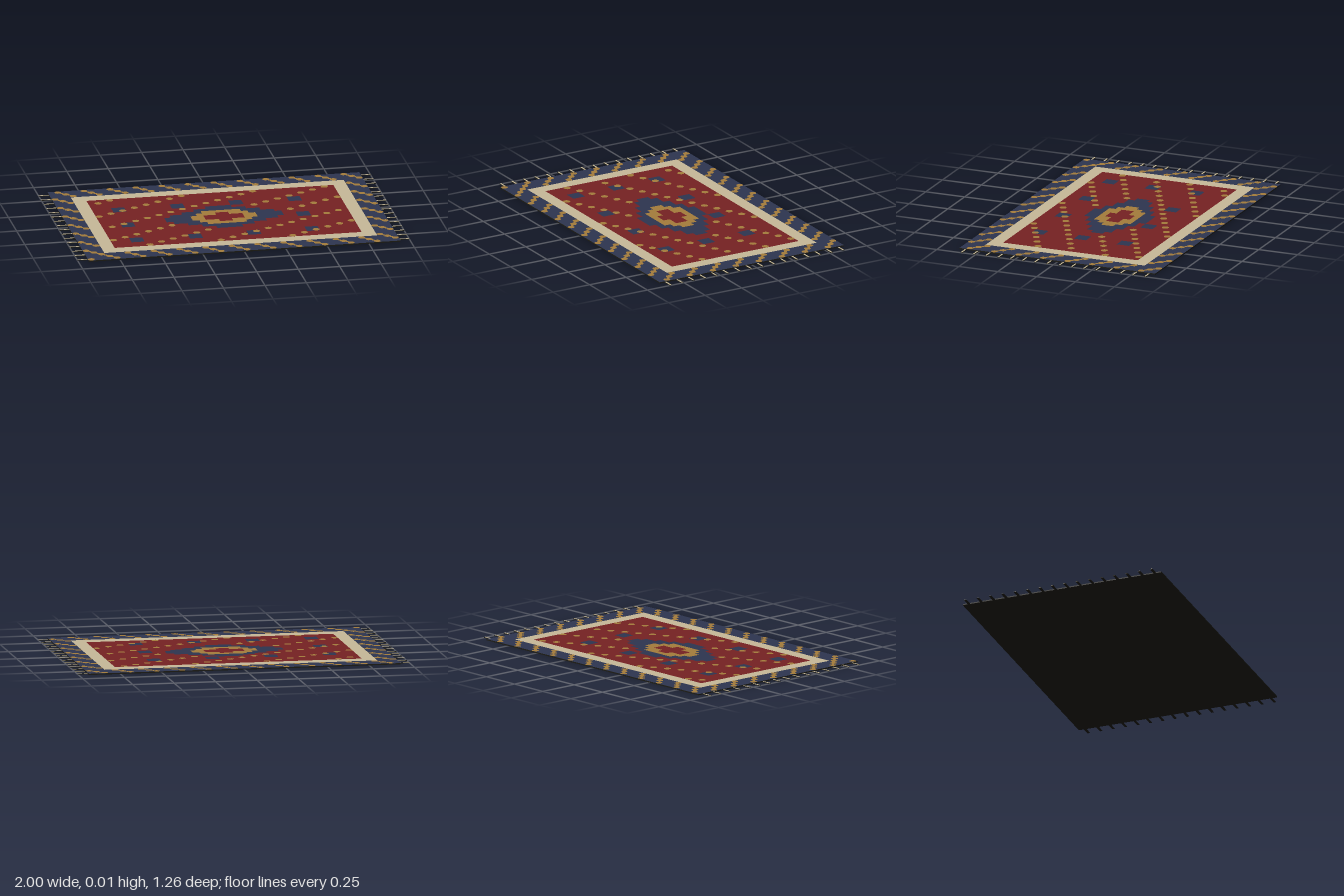
import * as THREE from 'three';
import { mergeGeometries } from 'three/addons/utils/BufferGeometryUtils.js';

const W = 1.88, D = 1.26, H = 0.007;   // woven slab
const COLS = 48, ROWS = 32;            // knots across and along
const CW = W / COLS, CD = D / ROWS;

const mat = (name, color) => {
  const m = new THREE.MeshStandardMaterial({ color });
  m.name = name;
  return m;
};

export function createModel() {
  const mats = {
    navy: mat('navy wool', 0x2d3550),
    red: mat('red wool', 0x762123),
    gold: mat('gold wool', 0xa47c3b),
    cream: mat('cream wool', 0xc7b998),
    backing: mat('dark backing', 0x1c1b14),
  };
  const rug = new THREE.Group();
  rug.name = 'rug';
  const add = (name, geos, material) => {
    const mesh = new THREE.Mesh(mergeGeometries(geos), material);
    mesh.name = name;
    rug.add(mesh);
  };

  // Frame depth of a knot: 0-2 outer border, 3-4 inner band, 5+ field
  const depth = (i, j) => Math.min(i, j, COLS - 1 - i, ROWS - 1 - j);

  // Half widths (in knots) of the stepped medallion, from its middle row outward
  const navyHalf = [9, 8, 6, 4, 2], goldHalf = [5, 4, 3], redHalf = [3, 1];
  const inside = (half, i, j) =>
    Math.abs(i - 23.5) < (half[Math.floor(Math.abs(j - 15.5))] ?? 0);

  const ground = (i, j) => {
    const d = depth(i, j);
    if (d < 3) return 'navy';
    if (d < 5) return 'cream';
    if (inside(redHalf, i, j)) return 'red';
    if (inside(goldHalf, i, j)) return 'gold';
    if (inside(navyHalf, i, j)) return 'navy';
    const square = (i + 1) % 9 < 2 && (j + 5) % 7 < 2;
    return square ? 'navy' : 'red';
  };

  // Slab
  add('backing', [new THREE.BoxGeometry(W, H, D).translate(0, H / 2, 0)], mats.backing);

  // Pile: each row is divided into runs of one colour
  const pile = { navy: [], red: [], gold: [], cream: [] };
  for (let j = 0; j < ROWS; j++) {
    for (let i = 0; i < COLS;) {
      const colour = ground(i, j);
      let end = i;
      while (end < COLS && ground(end, j) === colour) end++;
      pile[colour].push(new THREE.PlaneGeometry((end - i) * CW, CD).rotateX(-Math.PI / 2)
        .translate((i + end) / 2 * CW - W / 2, H + 0.0004, (j + 0.5) * CD - D / 2));
      i = end;
    }
  }
  for (const [colour, geos] of Object.entries(pile)) add(`${colour} pile`, geos, mats[colour]);

  // Eight-sided gold knots: diagonal stripes in the border, sloping rows in the field
  const knot = (i, j, apothem) =>
    new THREE.CircleGeometry(apothem / Math.cos(Math.PI / 8), 8, Math.PI / 8).rotateX(-Math.PI / 2)
      .translate(i * CW - W / 2, H + 0.001, j * CD - D / 2);
  const stripes = [], dots = [];
  for (let j = 0; j < ROWS; j++) {
    for (let i = 0; i < COLS; i++) {
      const d = depth(i, j);
      if (d < 3 && (i - j + ROWS) % 4 === 1) {
        stripes.push(knot(i + 0.5, j + 0.5, CW / 2));
        // Link to the next knot on the diagonal
        const next = depth(i + 1, j + 1);
        if (next >= 0 && next < 3) stripes.push(knot(i + 1, j + 1, 0.009));
      }
      if (d >= 5 && (i + 2 * j) % 11 === 7 && !inside(navyHalf, i, j)) {
        dots.push(knot(i + 0.5, j + 0.5, 0.0205));
      }
    }
  }
  add('border stripes', stripes, mats.gold);
  add('field dots', dots, mats.gold);

  // Fringe: dark cords with a light strand along the top, at both ends
  const cords = [], strands = [];
  for (const side of [-1, 1]) {
    for (let k = 0; k < ROWS / 2; k++) {
      const x = side * 0.97, z = (2 * k + 1) * CD - D / 2;
      cords.push(new THREE.BoxGeometry(0.06, 0.003, 0.015).translate(x, 0.0015, z));
      strands.push(new THREE.BoxGeometry(0.06, 0.001, 0.009).translate(x, 0.0035, z));
    }
  }
  add('fringe cords', cords, mats.backing);
  add('fringe strands', strands, mats.cream);

  return rug;
}
